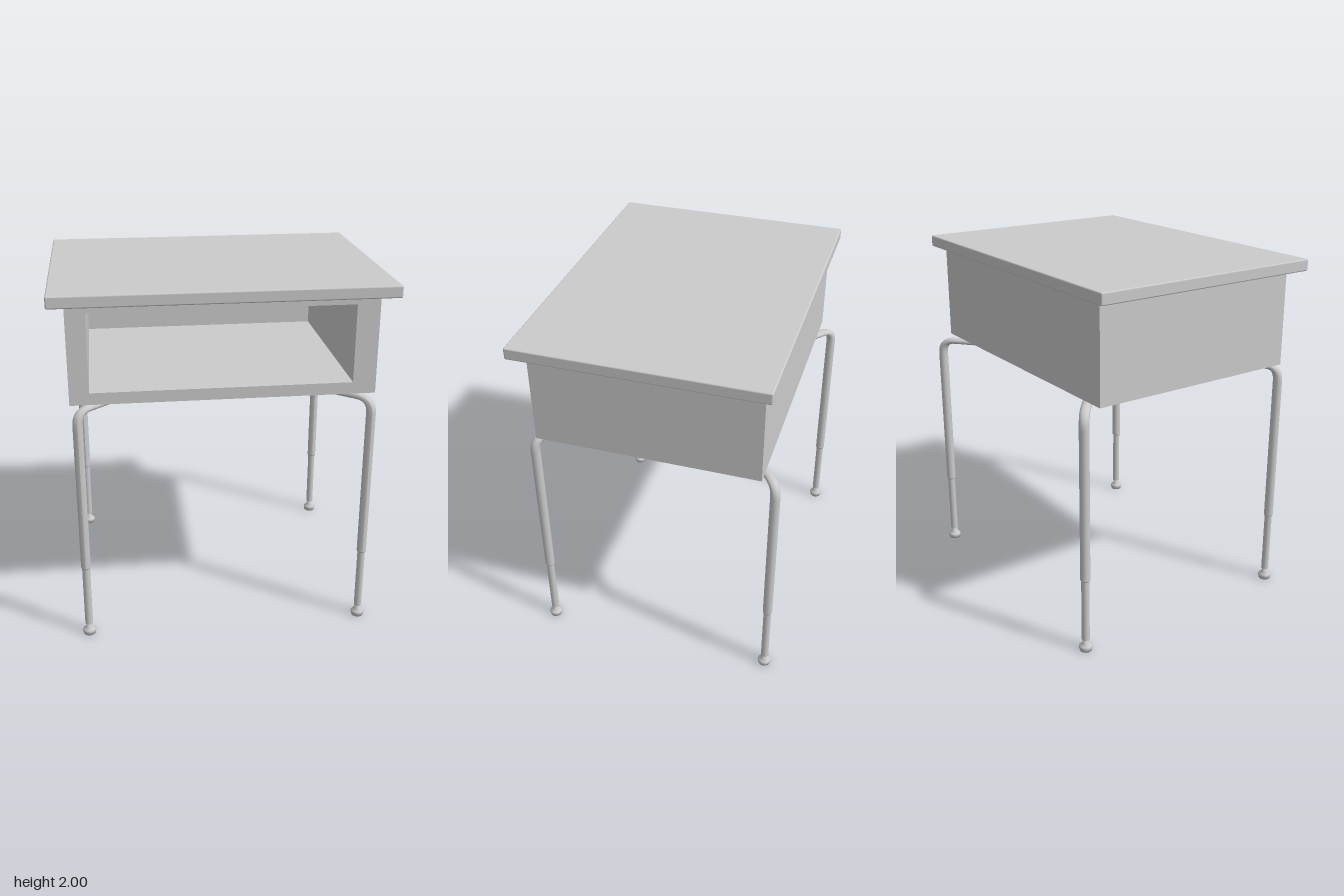
import * as THREE from 'three';
import { RoundedBoxGeometry } from 'three/addons/geometries/RoundedBoxGeometry.js';

const material = new THREE.MeshStandardMaterial({ color: 0xcccccc });

function addMesh(parent, name, geometry) {
  const mesh = new THREE.Mesh(geometry, material);
  mesh.name = name;
  parent.add(mesh);
  return mesh;
}

// Box given by its extents
function addBox(parent, name, [x0, x1], [y0, y1], [z0, z1], radius = 0) {
  const size = [x1 - x0, y1 - y0, z1 - z0];
  const geometry = radius
    ? new RoundedBoxGeometry(...size, 2, radius)
    : new THREE.BoxGeometry(...size);
  addMesh(parent, name, geometry)
    .position.set((x0 + x1) / 2, (y0 + y1) / 2, (z0 + z1) / 2);
}

// Tube rising from the leg, bending inward and flattening into a diagonal brace
function legTube(corner, center) {
  const barY = 1.37;
  const inward = center.clone().sub(corner).normalize();
  const at = (distance, y) => corner.clone().addScaledVector(inward, distance).setY(y);
  const bend = 0.08;
  const path = new THREE.CurvePath();
  path.add(new THREE.LineCurve3(at(0, 0.435), at(0, barY - bend)));
  path.add(new THREE.QuadraticBezierCurve3(at(0, barY - bend), at(0, barY), at(bend, barY)));
  path.add(new THREE.LineCurve3(at(bend, barY), center.clone().setY(barY)));

  const segments = 100, sides = 12;
  const geometry = new THREE.TubeGeometry(path, segments, 0.027, sides);
  const pos = geometry.attributes.position;
  for (let i = 0; i < pos.count; i++) {
    const ring = Math.floor(i / (sides + 1));
    const y = path.getPointAt(ring / segments).y;
    pos.setY(i, y + (pos.getY(i) - y) * 0.68);
  }
  geometry.computeVertexNormals();
  return geometry;
}

export function createModel() {
  const desk = new THREE.Group();
  desk.name = 'schoolDesk';

  // Overhanging work surface
  addBox(desk, 'deskTop', [-0.907, 0.907], [1.935, 2], [-0.65, 0.707], 0.008);

  // Storage box, open at the front
  const box = new THREE.Group();
  box.name = 'storageBox';
  desk.add(box);
  const front = 0.635, back = -0.6, innerBack = -0.5;
  addBox(box, 'bottomPanel', [-0.82, 0.815], [1.395, 1.46], [back, front]);
  addBox(box, 'rightWall', [-0.82, -0.715], [1.46, 1.935], [back, front]);
  addBox(box, 'leftWall', [0.69, 0.815], [1.46, 1.935], [back, front]);
  addBox(box, 'backWall', [-0.715, 0.69], [1.46, 1.935], [back, innerBack]);
  addBox(box, 'upperPanel', [-0.715, 0.69], [1.89, 1.935], [innerBack, front]);

  // Four legs whose tops run under the box and meet in a cross
  const center = new THREE.Vector3(0.005, 0, -0.005);
  const footProfile = [
    [0, 0], [0.034, 0], [0.039, 0.022], [0.034, 0.03],
    [0.018, 0.046], [0.016, 0.07], [0, 0.07],
  ].map(([r, y]) => new THREE.Vector2(r, y));
  for (const sx of [-1, 1]) {
    for (const sz of [-1, 1]) {
      const leg = new THREE.Group();
      leg.name = `${sz > 0 ? 'front' : 'back'}${sx > 0 ? 'Left' : 'Right'}Leg`;
      desk.add(leg);
      const corner = new THREE.Vector3(center.x + sx * 0.788, 0, center.z + sz * 0.665);

      addMesh(leg, 'legTube', legTube(corner, center));

      // Closing ring at the lower end of the outer tube
      const collar = addMesh(leg, 'tubeEnd', new THREE.CylinderGeometry(0.027, 0.024, 0.008, 12));
      collar.position.set(corner.x, 0.431, corner.z);

      // Telescoping lower section
      const lower = addMesh(leg, 'lowerLeg', new THREE.CylinderGeometry(0.022, 0.022, 0.39, 12));
      lower.position.set(corner.x, 0.26, corner.z);

      // Glide foot
      const foot = addMesh(leg, 'foot', new THREE.LatheGeometry(footProfile, 12));
      foot.position.copy(corner);
    }
  }
  return desk;
}
